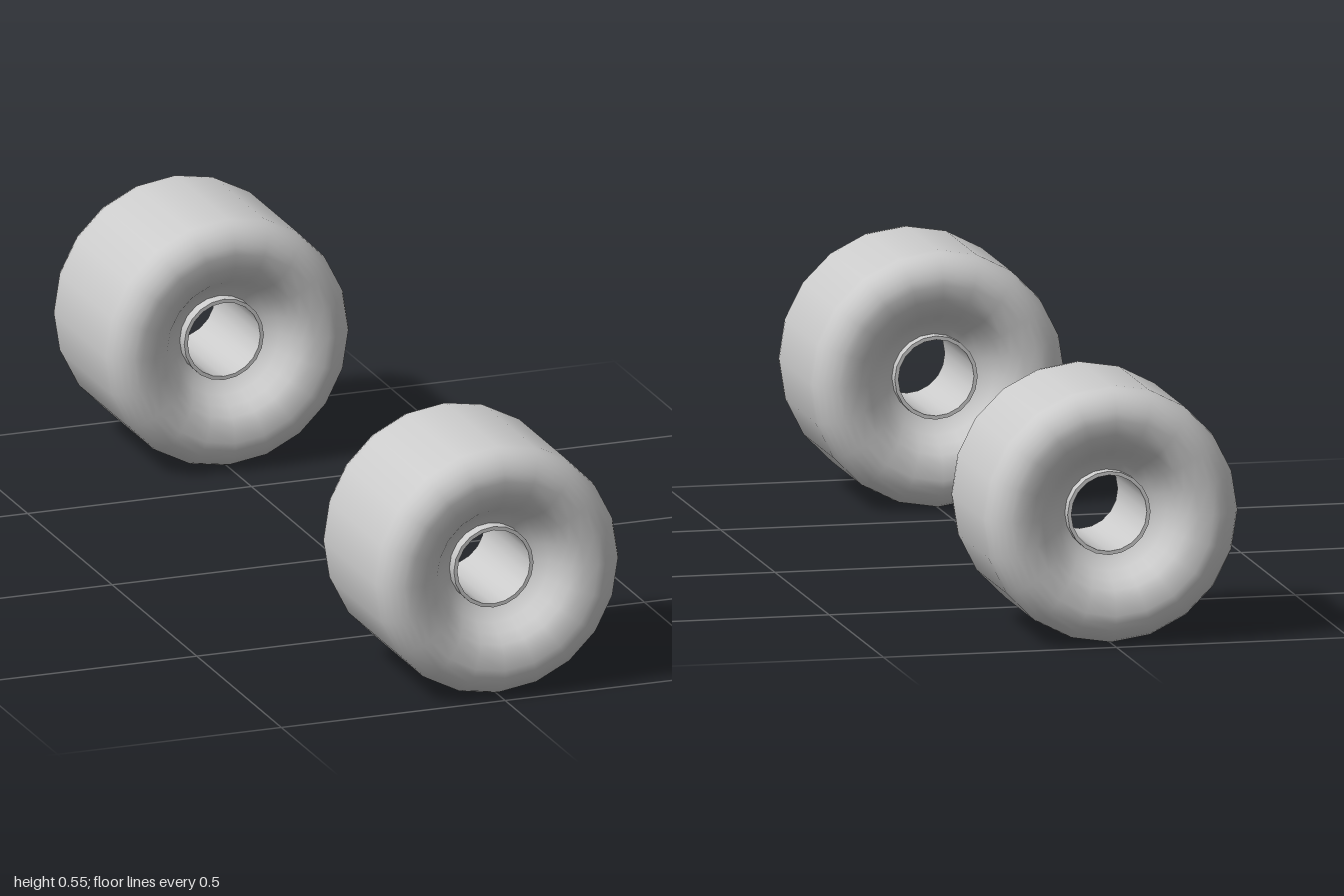
import * as THREE from 'three';
import { toCreasedNormals } from 'three/addons/utils/BufferGeometryUtils.js';

const SIDES = 20;
const RADIUS = 0.273;
const HALF = 0.203; // half the width of a wheel

// Lathe a list of [radius, axial] points around the z axis
function turned(points) {
  const profile = points.map(([r, a]) => new THREE.Vector2(r, a));
  return new THREE.LatheGeometry(profile, SIDES).rotateX(Math.PI / 2);
}

// Half of the tyre profile, from the dished hub out to the tread
function tyreProfile() {
  const half = [[0.088, 0.108], [0.105, 0.118], [0.122, 0.138], [0.138, 0.164], [0.156, 0.186], [0.178, 0.199]];
  const corner = 0.065;
  for (let i = 0; i <= 6; i++) {
    const t = (i / 6) * Math.PI / 2;
    half.push([RADIUS - corner + corner * Math.sin(t), HALF - corner + corner * Math.cos(t)]);
  }
  const back = half.map(([r, a]) => [r, -a]);
  return [...back, ...half.reverse()];
}

export function createModel() {
  const model = new THREE.Group();
  const material = new THREE.MeshStandardMaterial({ color: 0xcccccc });
  const tyreGeometry = turned(tyreProfile());

  // Thin tube lining the bore, standing slightly proud of the dish
  const end = 0.135, outer = 0.089, inner = 0.081;
  const sleeveGeometry = toCreasedNormals(
    turned([[outer, -end], [outer, end], [inner, end], [inner, -end], [outer, -end]]), 0.6);

  for (const [side, sign] of [['front', 1], ['rear', -1]]) {
    const wheel = new THREE.Group();
    wheel.name = side + 'Wheel';
    const tyre = new THREE.Mesh(tyreGeometry, material);
    tyre.name = side + 'Tyre';
    const sleeve = new THREE.Mesh(sleeveGeometry, material);
    sleeve.name = side + 'HubSleeve';
    wheel.add(tyre, sleeve);
    wheel.position.set(0, RADIUS, sign * (1 - HALF));
    model.add(wheel);
  }
  return model;
}
